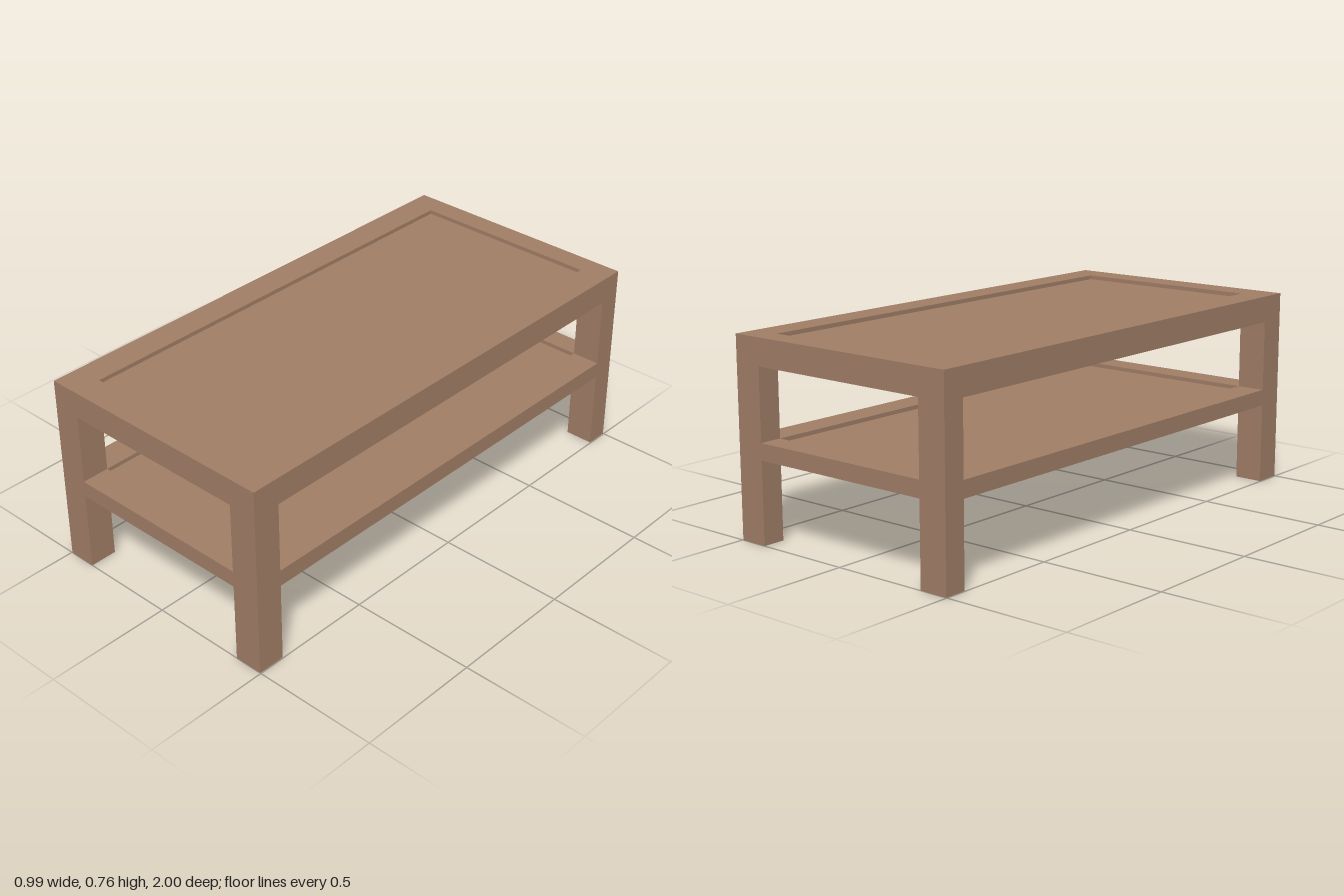
import * as THREE from 'three';

const HALF_W = 0.497, HALF_L = 1;            // outer footprint
const INNER_X = 0.383, FRONT_Z = 0.89, BACK_Z = -0.91; // inner edge of frame and legs
const RECESS = 0.016;

export function createModel() {
  const wood = new THREE.MeshStandardMaterial({ color: 0xa07e66 });
  wood.name = 'brownWood';
  const model = new THREE.Group();
  model.name = 'coffeeTable';

  // Box given by its opposite corners
  function box(name, x0, x1, y0, y1, z0, z1, parent) {
    const mesh = new THREE.Mesh(new THREE.BoxGeometry(x1 - x0, y1 - y0, z1 - z0), wood);
    mesh.position.set((x0 + x1) / 2, (y0 + y1) / 2, (z0 + z1) / 2);
    mesh.name = name;
    parent.add(mesh);
  }

  // Rectangle in plan; shape y maps to -z once the extrusion is laid flat
  function trace(path, x, zBack, zFront) {
    path.moveTo(-x, -zFront);
    path.lineTo(x, -zFront);
    path.lineTo(x, -zBack);
    path.lineTo(-x, -zBack);
    path.closePath();
    return path;
  }

  // Rectangular frame around a slightly sunken panel
  function framedSlab(name, y0, y1) {
    const slab = new THREE.Group();
    slab.name = name;
    const shape = trace(new THREE.Shape(), HALF_W, -HALF_L, HALF_L);
    shape.holes.push(trace(new THREE.Path(), INNER_X, BACK_Z, FRONT_Z));
    const geometry = new THREE.ExtrudeGeometry(shape, { depth: y1 - y0, bevelEnabled: false });
    geometry.rotateX(-Math.PI / 2);
    const frame = new THREE.Mesh(geometry, wood);
    frame.position.y = y0;
    frame.name = name + 'Frame';
    slab.add(frame);
    box(name + 'Panel', -INNER_X, INNER_X, y0, y1 - RECESS, BACK_Z, FRONT_Z, slab);
    model.add(slab);
  }

  framedSlab('tabletop', 0.656, 0.76);
  framedSlab('shelf', 0.316, 0.38);

  // Legs, running through the shelf corners up to the tabletop
  for (const side of [-1, 1]) {
    const label = side > 0 ? 'Left' : 'Right';
    const x0 = side > 0 ? INNER_X : -HALF_W;
    const x1 = x0 + HALF_W - INNER_X;
    box('front' + label + 'Leg', x0, x1, 0, 0.656, FRONT_Z, HALF_L, model);
    box('back' + label + 'Leg', x0, x1, 0, 0.656, -HALF_L, BACK_Z, model);
  }

  return model;
}
